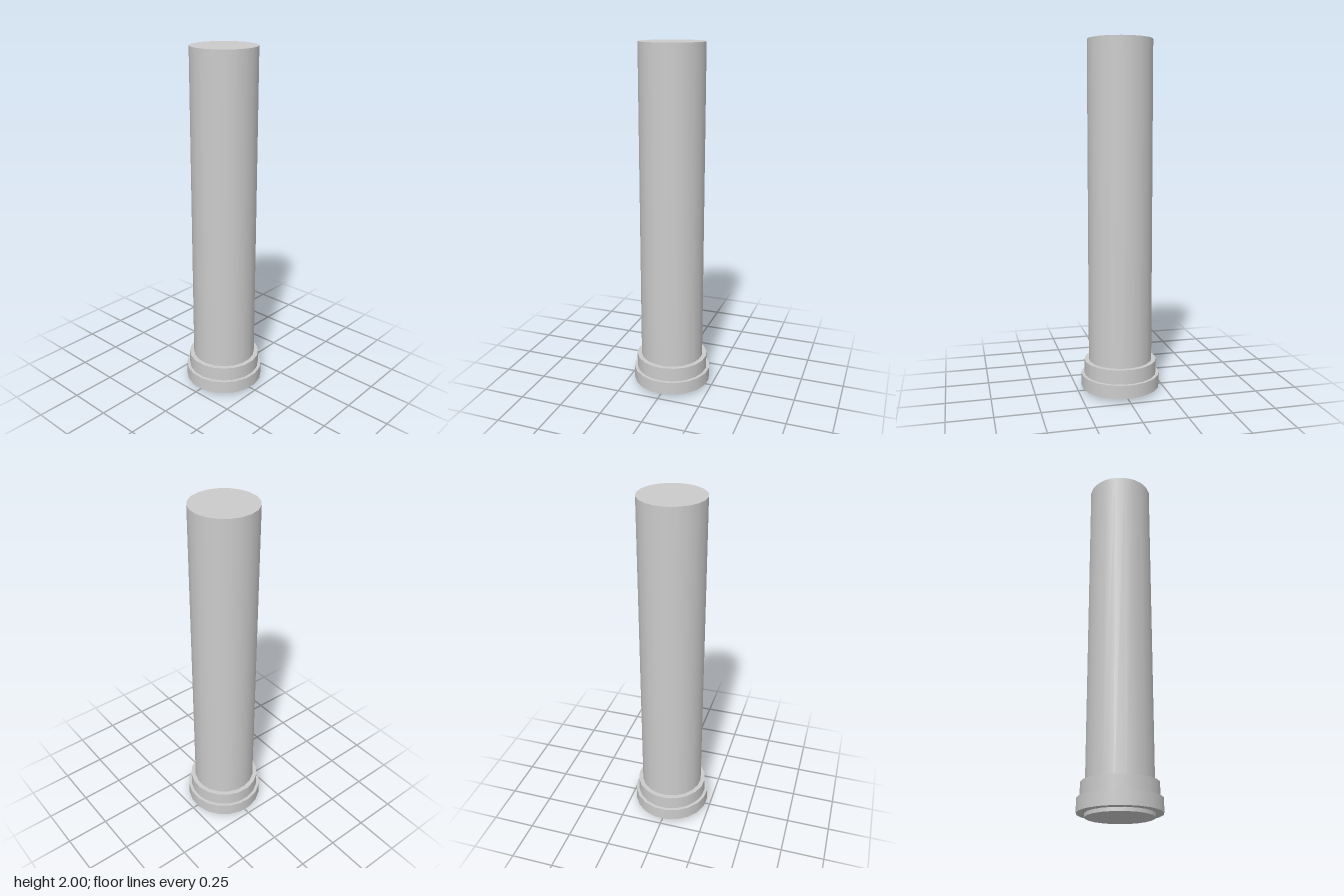
import * as THREE from 'three';

export function createModel() {
  const group = new THREE.Group();
  const material = new THREE.MeshStandardMaterial({ color: 0xcccccc });
  const sides = 20;
  const turn = THREE.MathUtils.degToRad(6.4);

  // Upright cylinder between two heights
  function addCylinder(name, radius, bottom, top) {
    const geometry = new THREE.CylinderGeometry(radius, radius, top - bottom, sides, 1);
    const mesh = new THREE.Mesh(geometry, material);
    mesh.name = name;
    mesh.position.y = (bottom + top) / 2;
    mesh.rotation.y = turn;
    group.add(mesh);
  }

  addCylinder('shaft', 0.183, 0, 2);
  addCylinder('lowerCollar', 0.227, 0.02, 0.096);
  addCylinder('upperCollar', 0.209, 0.096, 0.178);

  return group;
}
